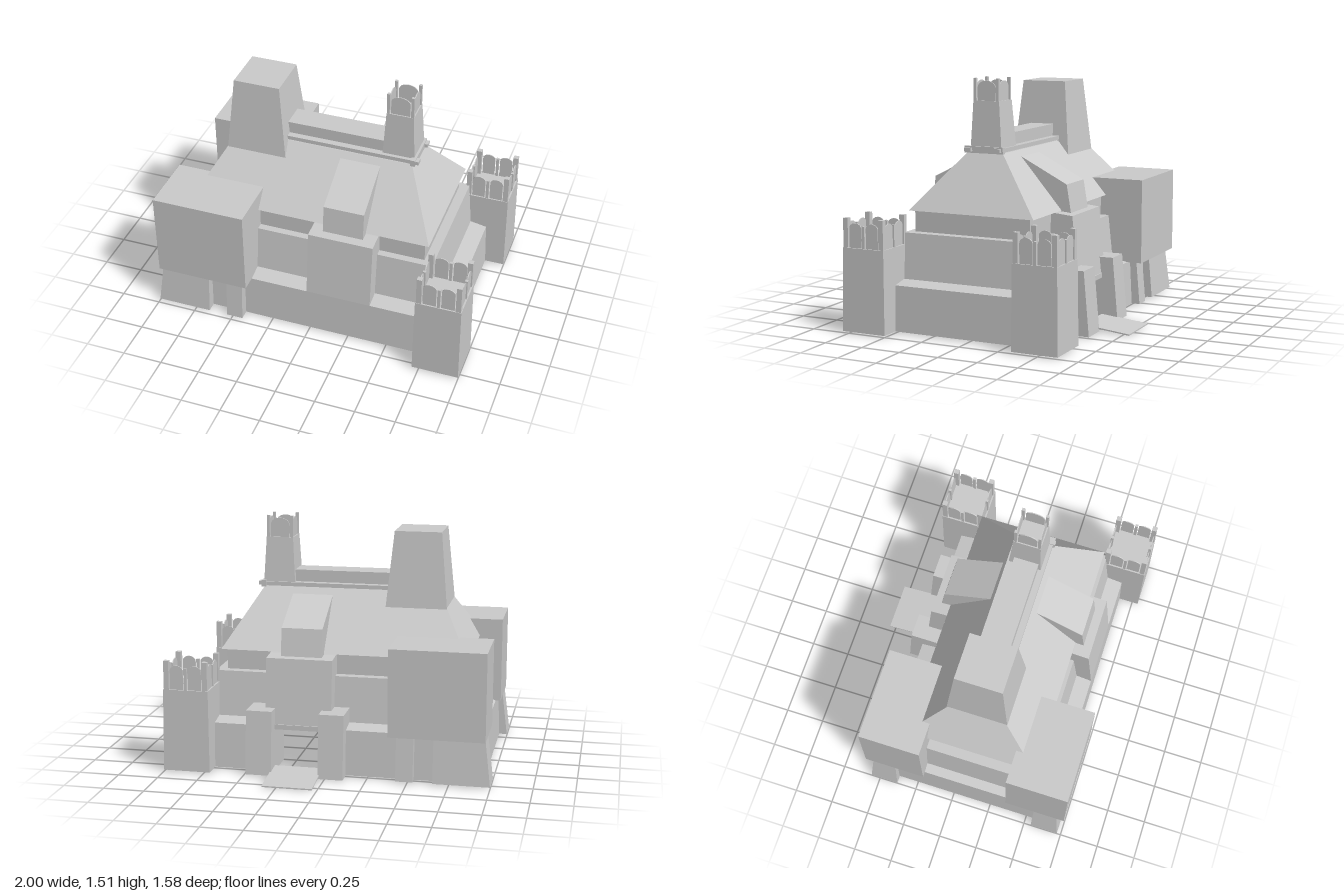
import * as THREE from 'three';

const stone = new THREE.MeshStandardMaterial({ color: 0xcccccc, side: THREE.DoubleSide });
stone.name = 'pale stone';

// Stack of rectangular rings [x0, x1, z0, z1, y], bottom to top, with flat faces.
// gap = [x0, x1] leaves an opening in the back of the lowest course.
function loft(rings, { bottom = true, top = true, gap = null } = {}) {
  const pos = [];
  const quad = (a, b, c, d) => pos.push(...a, ...b, ...c, ...a, ...c, ...d);
  const corners = ([x0, x1, z0, z1, y]) => [[x0, y, z1], [x1, y, z1], [x1, y, z0], [x0, y, z0]];
  const levels = rings.map(corners);
  for (let i = 0; i + 1 < levels.length; i++) {
    const lo = levels[i], hi = levels[i + 1];
    for (let k = 0; k < 4; k++) {
      const n = (k + 1) % 4;
      if (gap && i === 0 && k === 2) {
        const at = (p, x) => [x, p[1], p[2]];
        quad(lo[2], at(lo[2], gap[1]), at(hi[2], gap[1]), hi[2]);
        quad(at(lo[3], gap[0]), lo[3], hi[3], at(hi[3], gap[0]));
      } else quad(lo[k], lo[n], hi[n], hi[k]);
    }
  }
  if (top) quad(...levels[levels.length - 1]);
  if (bottom) quad(...levels[0].slice().reverse());
  const g = new THREE.BufferGeometry();
  g.setAttribute('position', new THREE.Float32BufferAttribute(pos, 3));
  g.computeVertexNormals();
  return g;
}

function add(parent, name, geometry) {
  const mesh = new THREE.Mesh(geometry, stone);
  mesh.name = name;
  parent.add(mesh);
  return mesh;
}

const box = (x0, x1, y0, y1, z0, z1) => loft([[x0, x1, z0, z1, y0], [x0, x1, z0, z1, y1]]);

// Thin merlon with a rounded top
function archPanel(w, spring, rise) {
  const s = new THREE.Shape();
  s.moveTo(-w / 2, 0);
  s.lineTo(w / 2, 0);
  s.lineTo(w / 2, spring);
  s.absellipse(0, spring, w / 2, rise, 0, Math.PI, false, 0);
  s.closePath();
  return new THREE.ExtrudeGeometry(s, { depth: 0.006, bevelEnabled: false, curveSegments: 8 });
}

// Square crown: corner posts, optional middle posts and rounded merlons on each side
function crown(half, post, postHeight, panels, spring, rise) {
  const g = new THREE.Group();
  g.name = 'crown';
  for (let i = 0; i < 4; i++) {
    const side = new THREE.Group();
    side.name = 'crownSide';
    side.rotation.y = i * Math.PI / 2;
    add(side, 'cornerPost', box(-half, -half + post, 0, postHeight, half - post, half));
    const mid = panels > 1 ? 0.018 : 0;
    if (mid) add(side, 'middlePost', box(-mid / 2, mid / 2, 0, spring + rise * 0.5, half - mid, half));
    const cell = (2 * (half - post) - mid) / panels;
    for (let p = 0; p < panels; p++) {
      const m = add(side, 'merlon', archPanel(cell - 0.014, spring, rise));
      m.position.set((p - (panels - 1) / 2) * (cell + mid), 0, half - 0.012);
    }
    g.add(side);
  }
  return g;
}

export function createModel() {
  const model = new THREE.Group();
  model.name = 'fortress';
  const ZC = 0.083; // the body's mid line in z
  const mirror = (a, b, s) => s > 0 ? [a, b] : [2 * ZC - b, 2 * ZC - a];

  // Battered outer wall, sloped ledge and main storey
  add(model, 'mainWalls', loft([
    [-0.95, 0.876, -0.505, 0.66, 0.01],
    [-0.937, 0.865, -0.49, 0.65, 0.29],
    [-0.88, 0.76, -0.385, 0.55, 0.31],
    [-0.855, 0.735, -0.355, 0.515, 0.59],
  ], { bottom: false, gap: [0.04, 0.33] }));
  add(model, 'upperStorey', box(-0.79, 0.675, 0.59, 0.72, -0.3, 0.47));

  // Hipped roof, cross dormer and ridge
  add(model, 'roof', loft([[-0.825, 0.705, -0.335, 0.498, 0.72], [-0.62, 0.5, -0.035, 0.2, 1.07]]));
  add(model, 'dormer', loft([
    [0.055, 0.31, -0.398, 0.553, 0.7],
    [0.055, 0.31, -0.368, 0.533, 0.88],
    [0.055, 0.31, -0.035, 0.2, 1.05],
  ]));
  add(model, 'ridgeSlab', box(-0.5, 0.5, 1.075, 1.1, -0.04, 0.2));
  add(model, 'ridgeBlock', box(-0.5, 0.31, 1.1, 1.175, 0.005, 0.16));
  add(model, 'ridgeEndPlate', box(0.49, 0.52, 1.067, 1.108, -0.045, 0.212));
  for (const z of [-0.013, 0.182])
    add(model, 'ridgeKnob', box(0.485, 0.54, 1.077, 1.1, z - 0.022, z + 0.022));

  // Big tapered tower at one end of the ridge
  add(model, 'greatTower', loft([[-0.67, -0.285, -0.113, 0.275, 0.96], [-0.625, -0.333, -0.065, 0.23, 1.45]]));

  // Slender turret at the other end
  add(model, 'turret', loft([[0.305, 0.507, -0.03, 0.178, 1.08], [0.322, 0.492, -0.007, 0.165, 1.38]]));
  const turretCrown = crown(0.084, 0.018, 0.135, 1, 0.08, 0.04);
  turretCrown.position.set(0.407, 1.38, 0.08);
  model.add(turretCrown);

  for (const s of [1, -1]) {
    // Central bay
    add(model, 'bay', loft([
      [-0.02, 0.39, ...mirror(0.4, 0.65, s), 0.29],
      [-0.02, 0.39, ...mirror(0.4, 0.607, s), 0.705],
      [-0.02, 0.39, ...mirror(0.4, 0.5, s), 0.715],
    ]));

    // Overhanging corner block on two battered feet
    add(model, 'cornerBlock', box(-0.97, -0.385, 0.29, 0.83, ...mirror(0.36, 0.75, s)));
    add(model, 'cornerFoot', loft([
      [-1, -0.655, ...mirror(0.545, 0.725, s), 0.01],
      [-0.965, -0.655, ...mirror(0.55, 0.7, s), 0.29],
    ], { bottom: false }));
    add(model, 'innerFoot', loft([
      [-0.535, -0.43, ...mirror(0.6, 0.725, s), 0.01],
      [-0.535, -0.43, ...mirror(0.6, 0.7, s), 0.29],
    ], { bottom: false }));

    // Crowned corner tower
    add(model, 'cornerTower', loft([
      [0.708, 1, ...mirror(0.5, 0.79, s), 0.01],
      [0.712, 0.994, ...mirror(0.504, 0.784, s), 0.52],
    ], { bottom: false }));
    const top = crown(0.137, 0.032, 0.178, 2, 0.118, 0.032);
    top.position.set(0.853, 0.52, ZC + s * 0.561);
    model.add(top);
  }

  // Gate pillars, lintel and ramp at the back
  for (const [x0, x1] of [[-0.115, 0.04], [0.33, 0.49]])
    add(model, 'gatePillar', loft([[x0, x1, -0.595, -0.26, 0.005], [x0, x1, -0.56, -0.26, 0.4]], { bottom: false }));
  add(model, 'gateLintel', box(0.04, 0.33, 0.27, 0.3, -0.49, -0.385));
  const ramp = add(model, 'ramp', box(0.03, 0.337, 0, 0.008, -0.79, -0.49));
  const p = ramp.geometry.attributes.position;
  for (let i = 0; i < p.count; i++) if (p.getZ(i) > -0.6) p.setY(i, p.getY(i) + 0.032);
  ramp.geometry.computeVertexNormals();

  return model;
}
